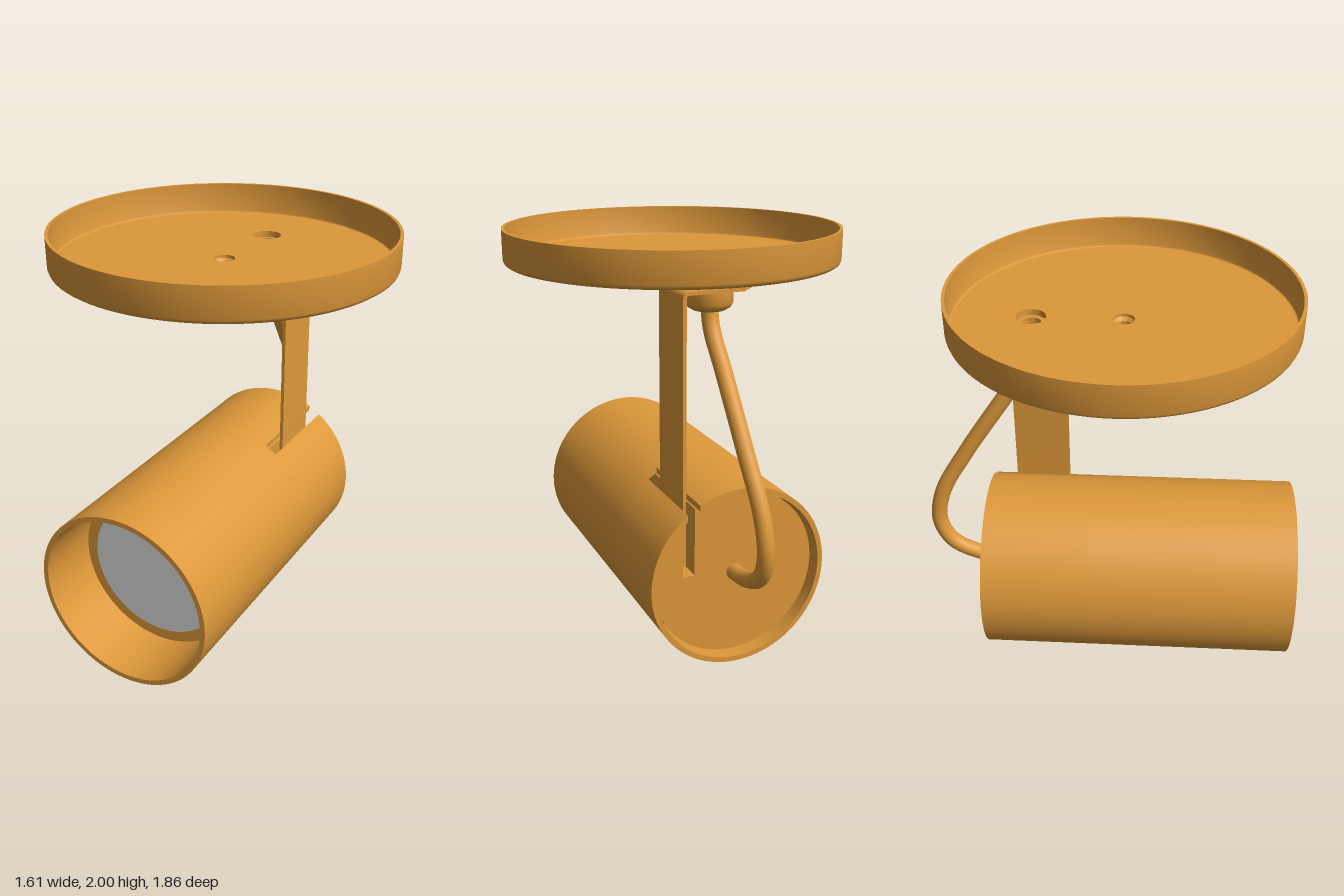
import * as THREE from 'three';
import { toCreasedNormals } from 'three/addons/utils/BufferGeometryUtils.js';

const ochre = new THREE.MeshStandardMaterial({ color: 0xdd983a, side: THREE.DoubleSide });
ochre.name = 'ochre paint';
const lensGrey = new THREE.MeshStandardMaterial({ color: 0xdcdcdc });
lensGrey.name = 'lens grey';

// lamp axis, slot and canopy measurements
const AX = -0.055, AY = 0.445;
const SLOT = [0.205, 0.265]; // slot edges, measured in x from the lamp axis
const CANOPY_Z = 0.0625, CORD_Z = -0.36;

function part(name, geometry, x = 0, y = 0, z = 0, material = ochre) {
  const mesh = new THREE.Mesh(geometry, material);
  mesh.name = name;
  mesh.position.set(x, y, z);
  return mesh;
}

function extrude(shape, depth) {
  const g = new THREE.ExtrudeGeometry(shape, { depth, bevelEnabled: false, curveSegments: 72 });
  return toCreasedNormals(g, 0.5);
}

function lathe(points, segments = 40) {
  const profile = points.map(([r, y]) => new THREE.Vector2(r, y));
  return toCreasedNormals(new THREE.LatheGeometry(profile, segments), 0.6);
}

function circleHole(x, y, r) {
  return new THREE.Path().absarc(x, y, r, 0, Math.PI * 2, true);
}

// ring with an open notch at the slot
function slottedRing(outer, inner) {
  const [a, b] = SLOT;
  const s = new THREE.Shape();
  s.absarc(0, 0, outer, Math.acos(a / outer), Math.acos(b / outer) + Math.PI * 2, false);
  s.absarc(0, 0, inner, Math.acos(b / inner) + Math.PI * 2, Math.acos(a / inner), true);
  s.closePath();
  return s;
}

// disc with a slot cut down from its edge
function slottedDisc(r, slotBottom) {
  const [a, b] = SLOT;
  const s = new THREE.Shape();
  s.absarc(0, 0, r, Math.acos(a / r), Math.acos(b / r) + Math.PI * 2, false);
  s.lineTo(b, slotBottom);
  s.lineTo(a, slotBottom);
  s.closePath();
  return s;
}

function createCanopy() {
  const g = new THREE.Group();
  g.name = 'canopy';
  // wall with a rounded lower edge
  g.add(part('canopyWall', lathe([
    [0.78, 1.835], [0.79, 1.837], [0.8, 1.844], [0.805, 1.857], [0.805, 2],
    [0.79, 2], [0.79, 1.862], [0.786, 1.853], [0.78, 1.85],
  ], 96), 0, 0, CANOPY_Z));
  // floor with two holes
  const floor = new THREE.Shape().absarc(0, 0, 0.781, 0, Math.PI * 2, false);
  floor.holes.push(circleHole(0, CORD_Z - CANOPY_Z, 0.07), circleHole(0, 0, 0.05));
  g.add(part('canopyFloor', extrude(floor, 0.015).rotateX(Math.PI / 2), 0, 1.85, CANOPY_Z));
  // hollow centre stem
  g.add(part('centreStem', lathe([
    [0, 1.695], [0.067, 1.695], [0.067, 1.836], [0.05, 1.836], [0.035, 1.82], [0.035, 1.72], [0, 1.72],
  ]), 0, 0, CANOPY_Z));
  // swivel collar that holds the bracket and lets the cord through
  g.add(part('swivelCollar', lathe([
    [0.04, 1.675], [0.075, 1.675], [0.1, 1.69], [0.11, 1.71], [0.11, 1.775], [0.088, 1.775],
    [0.088, 1.82], [0.096, 1.836], [0.07, 1.836], [0.07, 1.82], [0.047, 1.82], [0.047, 1.7], [0.04, 1.675],
  ]), 0, 0, CORD_Z));
  return g;
}

function createBracket() {
  const g = new THREE.Group();
  g.name = 'bracket';
  const z0 = -0.497, z1 = -0.22, c = 0.075;
  // top plate with clipped corners
  const plate = new THREE.Shape();
  plate.moveTo(0.13, z0);
  plate.lineTo(0.13, z1);
  plate.lineTo(-0.185 + c, z1);
  plate.lineTo(-0.185, z1 - c);
  plate.lineTo(-0.185, z0 + c);
  plate.lineTo(-0.185 + c, z0);
  plate.closePath();
  plate.holes.push(circleHole(0, CORD_Z, 0.085));
  g.add(part('bracketPlate', extrude(plate, 0.017).rotateX(Math.PI / 2), 0, 1.788, 0));
  // bent arm going down into the lamp
  const arm = new THREE.Shape();
  arm.moveTo(0.13, 1.788);
  arm.lineTo(0.155, 1.788);
  arm.absarc(0.155, 1.758, 0.03, Math.PI / 2, 0, true);
  arm.lineTo(0.185, 0.49);
  arm.lineTo(0.168, 0.49);
  arm.lineTo(0.168, 1.758);
  arm.absarc(0.155, 1.758, 0.013, 0, Math.PI / 2, false);
  arm.lineTo(0.13, 1.771);
  g.add(part('bracketArm', extrude(arm, z1 - z0), 0, 0, z0));
  return g;
}

function createLamp() {
  const g = new THREE.Group();
  g.name = 'lampHead';
  g.position.set(AX, AY, 0);
  // outer tube: closed ring in front, slotted ring behind
  const ring = new THREE.Shape().absarc(0, 0, 0.445, 0, Math.PI * 2, false);
  ring.holes.push(circleHole(0, 0, 0.42));
  g.add(part('tubeFront', extrude(ring, 1.02), 0, 0, -0.09));
  g.add(part('tubeBack', extrude(slottedRing(0.445, 0.42), 0.525), 0, 0, -0.615));
  // inner body, leaving a narrow gap to the tube
  g.add(part('innerBody', extrude(slottedDisc(0.41, 0.02), 1.18), 0, 0, -0.555));
  // lens
  const lens = new THREE.CylinderGeometry(0.348, 0.348, 0.008, 72).rotateX(Math.PI / 2);
  g.add(part('lens', lens, 0, 0, 0.63, lensGrey));
  return g;
}

function createCord() {
  const path = new THREE.CatmullRomCurve3([
    [0, 1.74, -0.36], [0, 1.6, -0.388], [-0.008, 1.42, -0.505], [-0.02, 1.1, -0.715],
    [-0.035, 0.85, -0.855], [-0.043, 0.67, -0.885], [-0.05, 0.54, -0.825],
    [-0.055, 0.465, -0.68], [-0.055, 0.445, -0.54],
  ].map((p) => new THREE.Vector3(...p)));
  return part('cord', new THREE.TubeGeometry(path, 80, 0.04, 20, false));
}

export function createModel() {
  const model = new THREE.Group();
  model.name = 'ceilingSpotlight';
  model.add(createCanopy(), createBracket(), createLamp(), createCord());
  return model;
}
